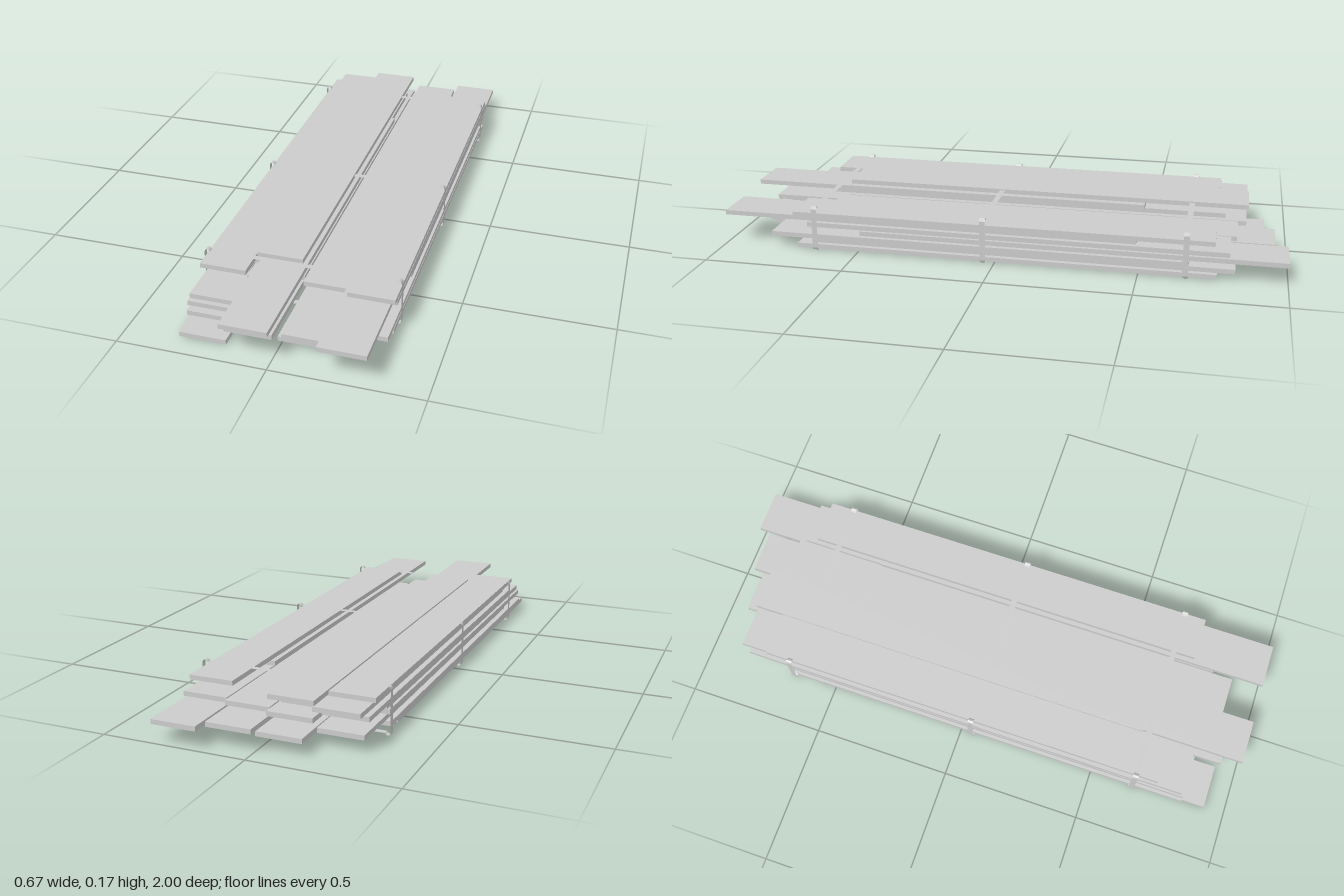
import * as THREE from 'three';

const material = new THREE.MeshStandardMaterial({ color: 0xcccccc, flatShading: true });
const strapMaterial = new THREE.MeshStandardMaterial({ color: 0xcccccc, side: THREE.DoubleSide });

const PLANK = { width: 0.157, height: 0.0165, length: 1.49 };
const LAYER_Y = [0.0125, 0.033, 0.052, 0.072, 0.094, 0.114, 0.132];

// Each column: first layer, then [centre x, back end z] per plank going up.
const COLUMNS = [
  { name: 'rightOuter', first: 0, topY: 0.148, planks: [
    [-0.24, -0.565], [-0.25, -0.65], [-0.233, -0.825], [-0.245, -0.65],
    [-0.24, -0.66], [-0.25, -0.825], [-0.233, -0.855], [-0.2415, -0.755]] },
  { name: 'rightInner', first: 2, topY: 0.153, planks: [
    [-0.072, -0.92], [-0.083, -0.555], [-0.077, -0.855],
    [-0.09, -0.78], [-0.071, -0.49], [-0.084, -0.86]] },
  { name: 'leftInner', first: 0, planks: [
    [0.085, -0.68], [0.0745, -0.605], [0.0905, -0.595], [0.08, -0.955], [0.085, -0.825]] },
  { name: 'leftOuter', first: 0, planks: [
    [0.247, -0.765], [0.2385, -0.825], [0.253, -0.67], [0.245, -1],
    [0.247, -0.805], [0.238, -0.49], [0.253, -0.755]] },
];

// Thin band swept along z from a closed outline
function ribbonGeometry(outline, width) {
  const positions = [], index = [];
  outline.forEach((a, i) => {
    const b = outline[(i + 1) % outline.length];
    const k = i * 4;
    positions.push(a.x, a.y, -width / 2, a.x, a.y, width / 2, b.x, b.y, width / 2, b.x, b.y, -width / 2);
    index.push(k, k + 1, k + 2, k, k + 2, k + 3);
  });
  const g = new THREE.BufferGeometry();
  g.setAttribute('position', new THREE.Float32BufferAttribute(positions, 3));
  g.setIndex(index);
  g.computeVertexNormals();
  return g;
}

// Strap outline with small raised bends at the four corners
function strapOutline() {
  const corner = [[0.314, 0.0745], [0.319, 0.08], [0.325, 0.0825], [0.331, 0.079], [0.334, 0.072]];
  const midY = 0.0825;
  const points = [];
  const add = (list, sx, sy) => list.forEach(([x, y]) => points.push(new THREE.Vector2(sx * x, midY + sy * y)));
  const reversed = [...corner].reverse();
  add(reversed, 1, -1);
  add(corner, -1, -1);
  add(reversed, -1, 1);
  add(corner, 1, 1);
  // run clockwise so the outside of the band is its front
  return points;
}

export function createModel() {
  const model = new THREE.Group();
  model.name = 'plankBundle';

  // Stacked planks
  const plankGeometry = new THREE.BoxGeometry(PLANK.width, PLANK.height, PLANK.length);
  for (const { name, first, topY, planks } of COLUMNS) {
    const stack = new THREE.Group();
    stack.name = name + 'Stack';
    planks.forEach(([x, back], i) => {
      const plank = new THREE.Mesh(plankGeometry, material);
      plank.name = 'plank';
      plank.position.set(x, LAYER_Y[first + i] ?? topY, back + PLANK.length / 2);
      stack.add(plank);
    });
    model.add(stack);
  }

  // Binding straps
  const strapGeometry = ribbonGeometry(strapOutline(), 0.02);
  for (const z of [-0.66, 0.04, 0.655]) {
    const strap = new THREE.Mesh(strapGeometry, strapMaterial);
    strap.name = 'strap';
    strap.position.z = z;
    model.add(strap);
  }
  return model;
}
